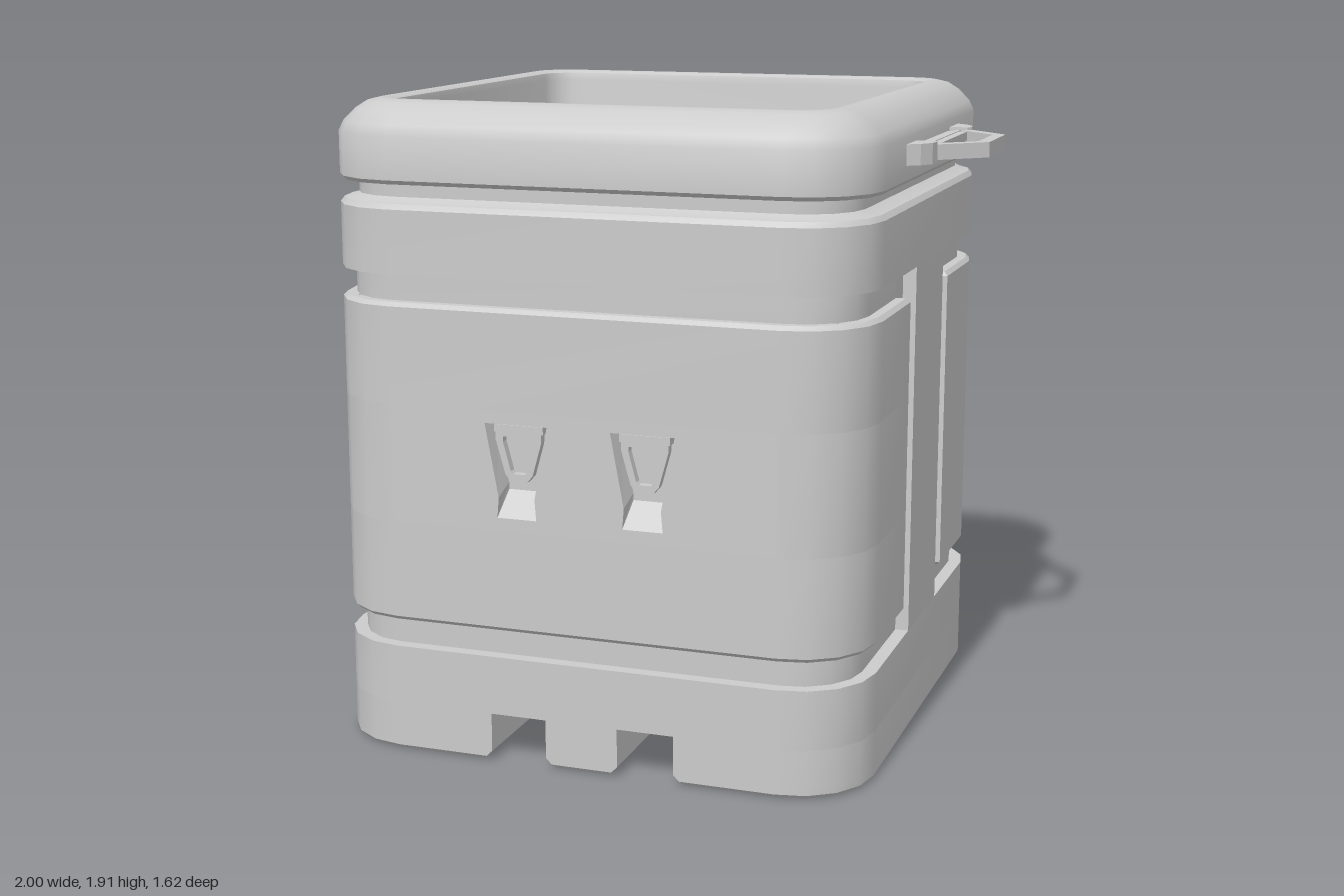
import * as THREE from 'three';
import { toCreasedNormals } from 'three/addons/utils/BufferGeometryUtils.js';

const H = 0.81, R = 0.23, CORE = 0.72;
const mat = new THREE.MeshStandardMaterial({ color: 0xcccccc });
const matDouble = new THREE.MeshStandardMaterial({ color: 0xcccccc, side: THREE.DoubleSide });

function add(parent, name, geometry, material = mat) {
  const mesh = new THREE.Mesh(geometry, material);
  mesh.name = name;
  parent.add(mesh);
  return mesh;
}

function box(parent, name, w, h, d, x, y, z) {
  const mesh = add(parent, name, new THREE.BoxGeometry(w, h, d));
  mesh.position.set(x, y, z);
  return mesh;
}

// Rounded corner of a square outline; quarter 0 is +x -z, then +x +z, -x +z, -x -z
function corner(h, r, quarter, n = 4) {
  const cx = quarter < 2 ? h - r : r - h;
  const cz = quarter === 1 || quarter === 2 ? h - r : r - h;
  return Array.from({ length: n + 1 }, (_, i) => {
    const a = (quarter - 1 + i / n) * Math.PI / 2;
    return [cx + r * Math.cos(a), cz + r * Math.sin(a)];
  });
}
const square = (h, r) => [0, 1, 2, 3].flatMap(q => corner(h, r, q));

// Skin through [outline, y] levels, with optional caps
function loft(levels, capStart = true, capEnd = true) {
  const pos = [];
  const put = (level, i) => pos.push(level[0][i][0], level[1], level[0][i][1]);
  for (let k = 0; k < levels.length - 1; k++) {
    const lo = levels[k], hi = levels[k + 1], n = lo[0].length;
    for (let i = 0; i < n; i++) {
      const j = (i + 1) % n;
      put(lo, i); put(hi, i); put(lo, j);
      put(lo, j); put(hi, i); put(hi, j);
    }
  }
  const cap = (level, flip) => {
    const pts = level[0].map(p => new THREE.Vector2(p[0], p[1]));
    for (const [a, b, c] of THREE.ShapeUtils.triangulateShape(pts, [])) {
      put(level, a); put(level, flip ? c : b); put(level, flip ? b : c);
    }
  };
  if (capStart) cap(levels[0], false);
  if (capEnd) cap(levels[levels.length - 1], true);
  const g = new THREE.BufferGeometry();
  g.setAttribute('position', new THREE.Float32BufferAttribute(pos, 3));
  return toCreasedNormals(g, 0.65);
}

const toShape = pts => new THREE.Shape(pts.map(p => new THREE.Vector2(p[0], p[1])));
const frame = (outer, inner, depth) => {
  const s = toShape(outer);
  if (inner) s.holes.push(toShape(inner));
  return new THREE.ExtrudeGeometry(s, { depth, bevelEnabled: false });
};

// Pocket mouth and back, in x and y
const mouth = [[-0.095, 1.015], [-0.055, 0.8], [-0.06, 0.74], [0.06, 0.74], [0.055, 0.8], [0.095, 1.015]];
const pocketBack = [[-0.085, 1.01], [-0.05, 0.83], [-0.05, 0.81], [0.05, 0.81], [0.05, 0.83], [0.085, 1.01]];
const shift = (pts, dx) => pts.map(([x, y]) => [x + dx, y]);

// Raised panel that wraps round two corners, with two ring pockets
function wrapPanel() {
  const panel = new THREE.Group();
  panel.name = 'wrapPanel';
  const section = c => [
    [H - c, 0.25 + c], ...corner(H - c, R - c, 1), ...corner(H - c, R - c, 2), [c - H, 0.25 + c],
    [-CORE, 0.25 + c], [-CORE, CORE], [CORE, CORE], [CORE, 0.25 + c]];
  const b = 0.012;
  add(panel, 'panelBottom', loft([[section(b), 0.4], [section(0), 0.4 + b], [section(0), 0.7]]));
  add(panel, 'panelTop', loft([[section(0), 1.05], [section(0), 1.345 - b], [section(b), 1.345]]));
  for (const s of [1, -1]) {
    const pts = s > 0
      ? [[H, 0.25], ...corner(H, R, 1), [H - R, CORE], [CORE, CORE], [CORE, 0.25]]
      : [...corner(H, R, 2), [-H, 0.25], [-CORE, 0.25], [-CORE, CORE], [R - H, CORE]];
    add(panel, 'panelCorner', loft([[pts, 0.7], [pts, 1.05]]));
  }
  const w = H - R;
  const plate = toShape([[-w, 0.7], [w, 0.7], [w, 1.05], [-w, 1.05]]);
  for (const x of [-0.19, 0.19]) plate.holes.push(toShape(shift(mouth, x)));
  const plateMesh = add(panel, 'panelFace',
    new THREE.ExtrudeGeometry(plate, { depth: H - CORE, bevelEnabled: false }));
  plateMesh.position.z = CORE;

  for (const x of [-0.19, 0.19]) {
    // Sloped pocket lining, lofted along the depth and turned to face out
    const lining = loft([[mouth, -H], [pocketBack, -0.745]], false, true);
    lining.rotateX(-Math.PI / 2);
    lining.scale(1, -1, -1);
    const flat = toCreasedNormals(lining, 0.3);
    const p = flat.attributes.position;
    // Keep the mouth on the panel surface and the back behind it
    for (let i = 0; i < p.count; i++) p.setZ(i, Math.abs(p.getZ(i)));
    if (p.getY(0) < 0) for (let i = 0; i < p.count; i++) p.setY(i, -p.getY(i));
    flat.computeVertexNormals();
    add(panel, 'pocket', flat, matDouble).position.x = x;
    // Hanging ring
    const ring = frame(
      [[-0.07, 0.995], [-0.07, 0.965], [-0.042, 0.865], [-0.025, 0.845], [0.025, 0.845], [0.042, 0.865], [0.07, 0.965], [0.07, 0.995]],
      [[-0.048, 0.975], [-0.048, 0.96], [-0.025, 0.875], [-0.018, 0.867], [0.018, 0.867], [0.025, 0.875], [0.048, 0.96], [0.048, 0.975]], 0.025);
    add(panel, 'pocketRing', ring).position.set(x, 0, 0.765);
    box(panel, 'ringHinge', 0.15, 0.022, 0.05, x, 0.998, 0.765);
  }
  return panel;
}

// Carrying handle on the +x side of the rim
function sideHandle() {
  const g = new THREE.Group();
  g.name = 'sideHandle';
  const flat = (name, outer, inner, top, height) => {
    const geo = frame(outer, inner, height);
    geo.rotateX(Math.PI / 2);
    add(g, name, geo).position.y = top;
  };
  flat('handleLoop',
    [[0.83, -0.25], [0.865, -0.25], [1, -0.12], [1, 0.12], [0.865, 0.25], [0.83, 0.25]],
    [[0.845, -0.215], [0.965, -0.105], [0.965, 0.105], [0.845, 0.215]], 1.787, 0.044);
  for (const s of [-1, 1]) {
    flat('handleLug', [[0.79, 0.225], [0.865, 0.225], [0.875, 0.24], [0.87, 0.28], [0.845, 0.32], [0.81, 0.345], [0.79, 0.345]]
      .map(([x, z]) => [x, z * s]), null, 1.795, 0.06);
  }
  box(g, 'handleBar', 0.06, 0.04, 0.4, 0.84, 1.765, 0);
  return g;
}

export function createModel() {
  const model = new THREE.Group();
  model.name = 'squareContainer';
  const sq = (c, y) => [square(H - c, R - c), y];

  // Base slab and the three runners below it
  add(model, 'base', loft([sq(0, 0.145), sq(0, 0.32)]));
  const outerFoot = (s, c, e) => {
    const half = [...corner(H - e, R - e, 0), ...corner(H - e, R - e, 1), [0.28 + c, H - e], [0.28 + c, e - H]];
    return s > 0 ? half : half.map(([x, z]) => [-x, z]).reverse();
  };
  for (const s of [1, -1]) {
    add(model, 'outerRunner', loft([
      [outerFoot(s, 0.03, 0.012), 0], [outerFoot(s, 0.018, 0), 0.012],
      [outerFoot(s, 0, 0), 0.03], [outerFoot(s, 0, 0), 0.145]]));
  }
  const midFoot = (c, e) => [[0.11 - c, e - H], [0.11 - c, H - e], [c - 0.11, H - e], [c - 0.11, e - H]];
  add(model, 'middleRunner', loft([
    [midFoot(0.03, 0.012), 0], [midFoot(0.018, 0), 0.012], [midFoot(0, 0), 0.03], [midFoot(0, 0), 0.145]]));

  // Core wall, set back deeper behind the panels
  add(model, 'core', loft([
    sq(0.04, 0.32), sq(0.04, 0.405), sq(H - CORE, 0.405),
    sq(H - CORE, 1.335), sq(0.04, 1.335), sq(0.04, 1.425)], false, false));

  // Band above the panels
  add(model, 'upperBand', loft([
    [square(0.7, 0.14), 1.425], sq(0, 1.425), sq(0, 1.61), sq(0.012, 1.625),
    sq(0.03, 1.628), sq(0.055, 1.64), sq(0.055, 1.69)], false, false));

  // Thick rounded rim, running down into the hollow interior
  add(model, 'rimAndInterior', loft([
    sq(0.055, 1.68), sq(0.012, 1.68), sq(0, 1.692), sq(0, 1.815), sq(0.015, 1.845),
    sq(0.05, 1.88), sq(0.085, 1.902), sq(0.12, 1.91),
    [square(0.67, 0.11), 1.91], [square(0.655, 0.1), 1.902], [square(0.65, 0.1), 1.88],
    [square(0.645, 0.13), 0.32], [square(0.62, 0.12), 0.26], [square(0.58, 0.1), 0.25]], false, true));

  // Flat pillars in the middle of the two sides
  for (const s of [-1, 1]) {
    box(model, 'sidePillar', 0.11, 1.105, 0.36, s * (H - 0.055), 0.8725, 0);
    box(model, 'pillarRecess', 0.07, 1.105, 0.54, s * (H - 0.075), 0.8725, 0);
  }

  const front = wrapPanel(), back = wrapPanel();
  back.rotation.y = Math.PI;
  const left = sideHandle(), right = sideHandle();
  right.rotation.y = Math.PI;
  model.add(front, back, left, right);
  return model;
}
